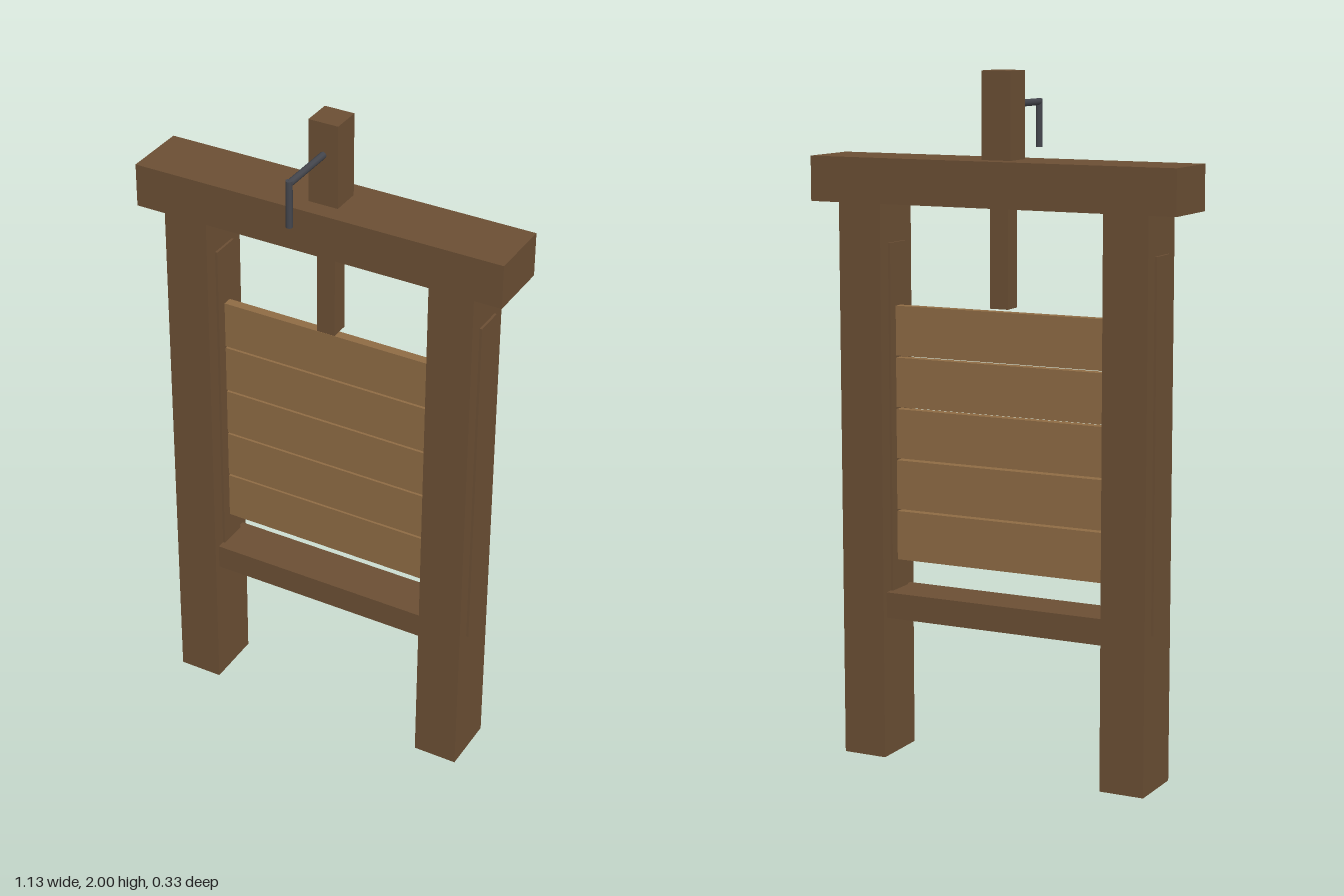
import * as THREE from 'three';

export function createModel() {
  const model = new THREE.Group();
  model.name = 'sluiceGate';
  const mat = (name, color) => {
    const m = new THREE.MeshStandardMaterial({ color });
    m.name = name;
    return m;
  };
  const darkWood = mat('dark wood', 0x6b4f34);
  const plankWood = mat('plank wood', 0x8e6b44);
  const iron = mat('iron', 0x44464d);

  // Box given by its limits on each axis
  const box = (name, material, [x0, x1], [y0, y1], [z0, z1]) => {
    const mesh = new THREE.Mesh(new THREE.BoxGeometry(x1 - x0, y1 - y0, z1 - z0), material);
    mesh.position.set((x0 + x1) / 2, (y0 + y1) / 2, (z0 + z1) / 2);
    mesh.name = name;
    model.add(mesh);
  };

  // Side posts, each with a guide rail standing slightly proud of both faces
  for (const [side, s] of [['left', 1], ['right', -1]]) {
    const span = (a, b) => (s > 0 ? [a, b] : [-b, -a]);
    box(side + 'Post', darkWood, span(0.346, 0.48), [0, 1.626], [-0.158, 0.02]);
    box(side + 'GuideRail', darkWood, span(0.339, 0.487), [0.456, 1.51], [-0.114, -0.024]);
  }

  // Head beam and sill
  box('headBeam', darkWood, [-0.565, 0.565], [1.625, 1.754], [-0.169, 0.028]);
  box('sill', darkWood, [-0.347, 0.347], [0.418, 0.494], [-0.14, 0.001]);

  // Gate planks
  for (let i = 0; i < 5; i++) {
    const y = 0.582 + i * 0.1503;
    box('gatePlank' + (i + 1), plankWood, [-0.342, 0.342], [y, y + 0.144], [-0.085, -0.056]);
  }

  // Lifting stem below the beam and its block above
  box('liftingStem', darkWood, [-0.028, 0.028], [1.338, 1.63], [-0.098, -0.042]);
  box('stemBlock', darkWood, [-0.045, 0.045], [1.75, 2], [-0.115, -0.026]);

  // Crank: horizontal arm and hanging grip
  const rod = (name, length) => {
    const mesh = new THREE.Mesh(new THREE.CylinderGeometry(0.01, 0.01, length, 8), iron);
    mesh.name = name;
    model.add(mesh);
    return mesh;
  };
  const arm = rod('crankArm', 0.195);
  arm.rotation.x = Math.PI / 2;
  arm.position.set(0, 1.905, 0.0605);
  rod('crankGrip', 0.138).position.set(0, 1.845, 0.156);

  return model;
}
